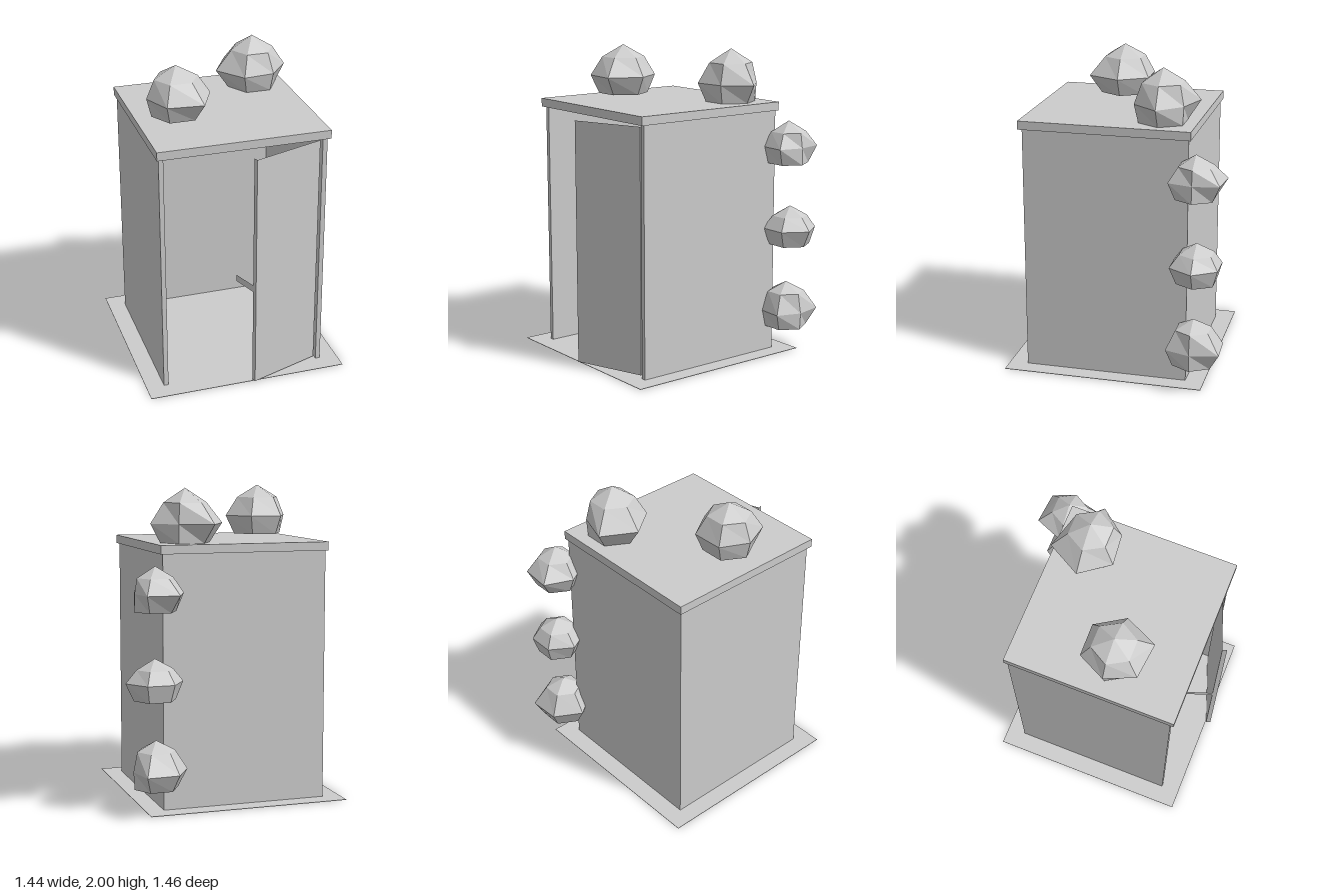
import * as THREE from 'three';

const grey = new THREE.MeshStandardMaterial({ color: 0xcccccc });
grey.name = 'plainGrey';

// Box given by its lowest and highest corners
function slab(name, [x0, y0, z0], [x1, y1, z1]) {
  const mesh = new THREE.Mesh(new THREE.BoxGeometry(x1 - x0, y1 - y0, z1 - z0), grey);
  mesh.position.set((x0 + x1) / 2, (y0 + y1) / 2, (z0 + z1) / 2);
  mesh.name = name;
  return mesh;
}

// Remove the top and bottom faces of a box mesh
function openEnds(mesh) {
  const index = Array.from(mesh.geometry.index.array);
  index.splice(12, 12);
  mesh.geometry.setIndex(index);
  mesh.geometry.clearGroups();
  return mesh;
}

// Faceted six-sided dome, open below; radii run from +x round by -z
function bush(name, [x, z], [base, middle, shoulder, apex], radii) {
  const mean = radii.reduce((sum, r) => sum + r, 0) / 6;
  const profile = [[mean * 0.75, base], [mean, middle], [mean * 0.65, shoulder], [0, apex]]
    .map(([r, y]) => new THREE.Vector2(r, y));
  const lathe = new THREE.LatheGeometry(profile, 6, Math.PI / 2);
  const pos = lathe.attributes.position;
  for (let i = 0; i <= 6; i++) {
    const k = i * 4 + 1;
    const scale = radii[i % 6] / mean;
    pos.setX(k, pos.getX(k) * scale);
    pos.setZ(k, pos.getZ(k) * scale);
  }
  const geometry = lathe.toNonIndexed();
  geometry.computeVertexNormals();
  const mesh = new THREE.Mesh(geometry, grey);
  mesh.position.set(x, 0, z);
  mesh.name = name;
  return mesh;
}

export function createModel() {
  const model = new THREE.Group();
  model.name = 'shed';

  // Ground sheet, walls and flat roof
  model.add(
    slab('ground', [-0.725, 0, -0.6], [0.575, 0.003, 0.7]),
    slab('rightWall', [-0.61, 0, -0.46], [-0.58, 1.6, 0.58]),
    slab('leftWall', [0.43, 0, -0.46], [0.46, 1.6, 0.58]),
    slab('backWall', [-0.61, 0, -0.48], [0.46, 1.6, -0.46]),
    slab('roof', [-0.625, 1.6, -0.495], [0.475, 1.655, 0.605]),
  );

  // Door ajar on its hinge, with a handle on the inner side
  const door = new THREE.Group();
  door.name = 'door';
  door.add(
    openEnds(slab('doorPanel', [-0.487, 0.02, -0.03], [0, 1.585, 0])),
    openEnds(slab('doorHandle', [-0.487, 0.67, -0.2], [-0.457, 0.715, -0.03])),
  );
  door.position.set(0.415, 0, 0.575);
  door.rotation.y = Math.atan2(0.16, 0.46);
  model.add(door);

  // Bushes on the roof and up the back corner
  model.add(
    bush('roofBushFront', [-0.37, 0.125], [1.68, 1.8, 1.92, 2], [0.22, 0.21, 0.205, 0.19, 0.217, 0.245]),
    bush('roofBushBack', [0.255, -0.275], [1.655, 1.775, 1.905, 1.995], [0.225, 0.17, 0.25, 0.245, 0.215, 0.19]),
    bush('cornerBushHigh', [0.525, -0.54], [1.26, 1.37, 1.465, 1.535], [0.13, 0.19, 0.21, 0.18, 0.17, 0.18]),
    bush('cornerBushMiddle', [0.535, -0.555], [0.72, 0.83, 0.91, 0.975], [0.185, 0.17, 0.17, 0.18, 0.18, 0.18]),
    bush('cornerBushLow', [0.525, -0.54], [0.165, 0.275, 0.4, 0.465], [0.145, 0.21, 0.2, 0.2, 0.17, 0.185]),
  );
  return model;
}
